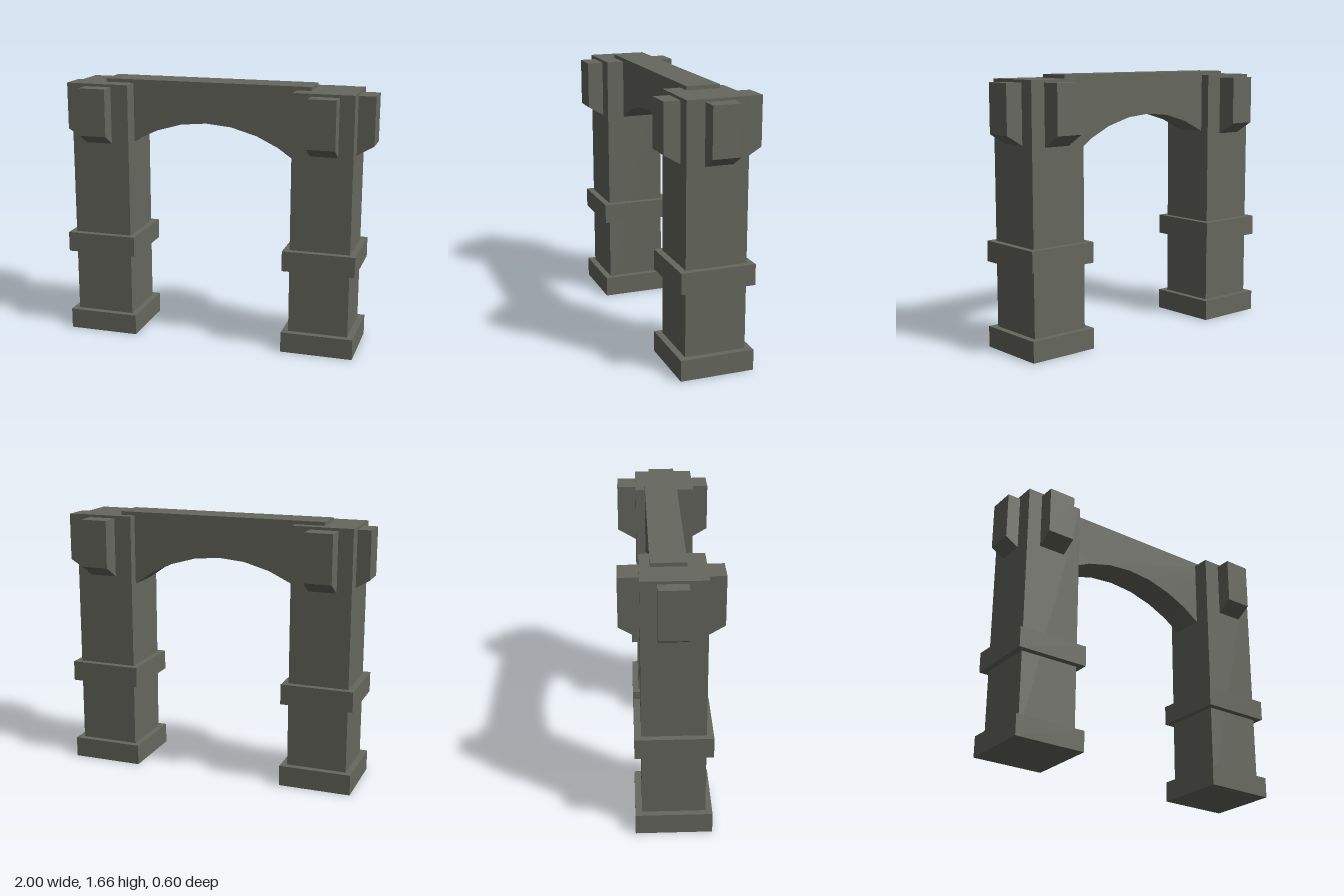
import * as THREE from 'three';

export function createModel() {
  const stone = new THREE.MeshStandardMaterial({ color: 0x66685e });
  stone.name = 'stone';
  const model = new THREE.Group();
  model.name = 'stoneArch';
  const cz = 0.01; // depth centre of the pillars

  const add = (parent, name, geometry, x = 0, y = 0, z = 0) => {
    const mesh = new THREE.Mesh(geometry, stone);
    mesh.name = name;
    mesh.position.set(x, y, z);
    parent.add(mesh);
    return mesh;
  };
  const extrude = (points, depth) => new THREE.ExtrudeGeometry(
    new THREE.Shape(points.map(([x, y]) => new THREE.Vector2(x, y))),
    { depth, bevelEnabled: false });

  // Bracket with a sloping underside, running outward along +x to reach
  const bracket = (parent, name, reach, x, z, angle) => {
    const inner = 0.15;
    const geometry = extrude([
      [inner, 1.325 - (reach - inner) * 0.6], [reach, 1.325], [reach, 1.625], [inner, 1.625],
    ], 0.173);
    geometry.translate(0, 0, -0.0865);
    add(parent, name, geometry, x, 0, z).rotation.y = angle;
  };

  // Pillars with base, middle band and three brackets each
  for (const [side, cx, outReach] of [[-1, -0.728, 0.272], [1, 0.706, 0.294]]) {
    const pillar = new THREE.Group();
    pillar.name = side < 0 ? 'rightPillar' : 'leftPillar';
    model.add(pillar);
    add(pillar, 'shaft', new THREE.BoxGeometry(0.377, 1.642, 0.378), cx, 0.821, cz);
    add(pillar, 'base', new THREE.BoxGeometry(0.456, 0.13, 0.46), cx, 0.065, cz);
    add(pillar, 'band', new THREE.BoxGeometry(0.456, 0.128, 0.46), cx, 0.601, cz);
    bracket(pillar, 'frontBracket', 0.3, cx + 0.01 * side, 0, -Math.PI / 2);
    bracket(pillar, 'backBracket', 0.3, cx + 0.01 * side, 0, Math.PI / 2);
    bracket(pillar, 'outerBracket', outReach, cx, 0.002, side > 0 ? 0 : Math.PI);
  }

  // Spanning beam with a faceted arched underside
  const mid = -0.058;
  const half = [[0.163, 1.392], [0.328, 1.345], [0.463, 1.28], [0.667, 1.14]];
  const arch = [
    ...half.map(([d, y]) => [mid - d, y]).reverse(),
    [mid, 1.407],
    ...half.map(([d, y]) => [mid + d, y]),
    [mid + 0.667, 1.665], [mid - 0.667, 1.665],
  ];
  add(model, 'archBeam', extrude(arch, 0.208), 0, 0, -0.119);

  return model;
}
